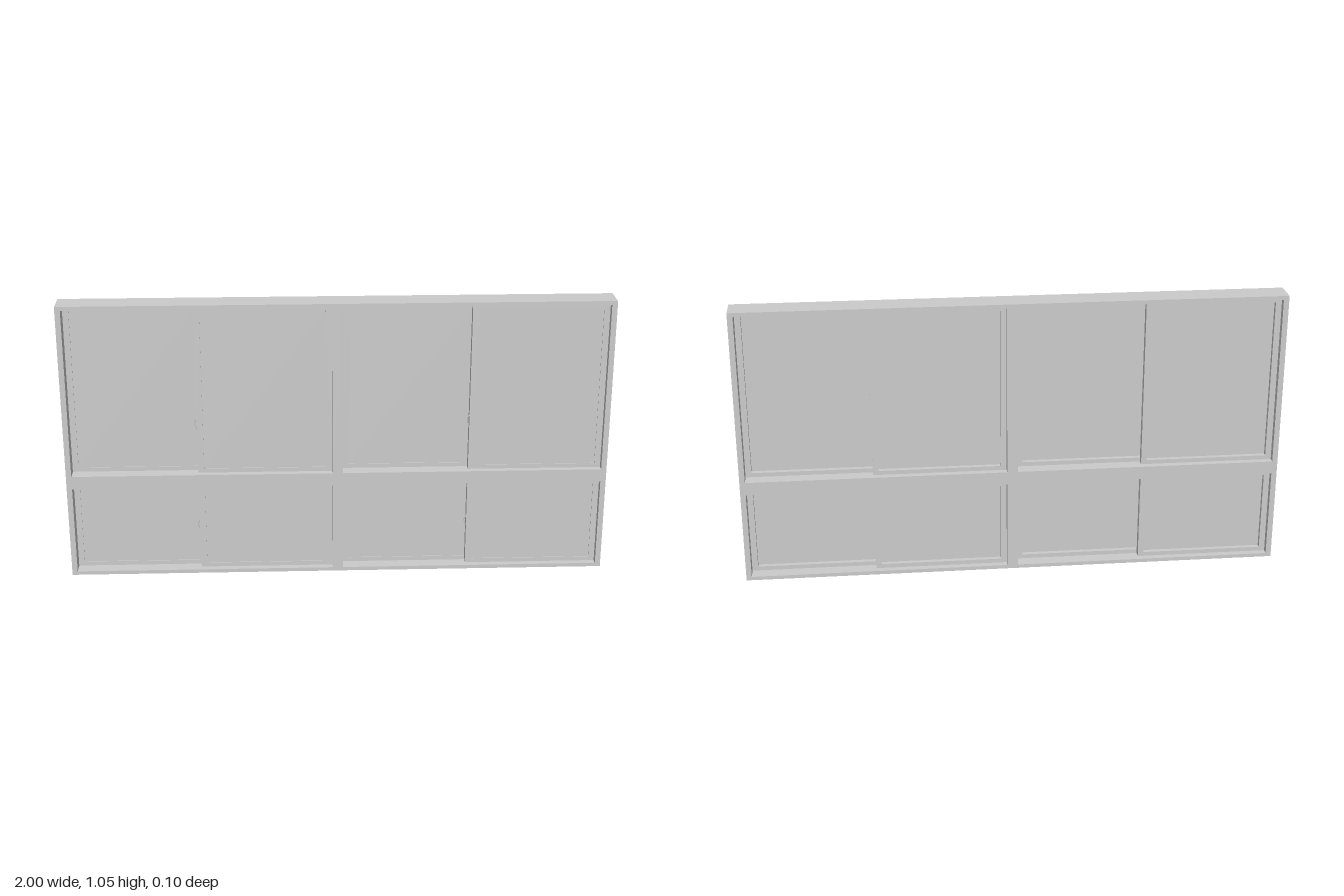
import * as THREE from 'three';

const material = new THREE.MeshStandardMaterial({ color: 0xcccccc });

function rectPoints(x0, y0, x1, y1) {
  return [[x0, y0], [x1, y0], [x1, y1], [x0, y1]].map(([x, y]) => new THREE.Vector2(x, y));
}

// Rectangular plate with rectangular holes, spanning z0..z1
function plate(name, outer, holes, z0, z1) {
  const shape = new THREE.Shape(rectPoints(...outer));
  holes.forEach(h => shape.holes.push(new THREE.Path(rectPoints(...h).reverse())));
  const geo = new THREE.ExtrudeGeometry(shape, { depth: z1 - z0, bevelEnabled: false });
  geo.translate(0, 0, z0);
  const mesh = new THREE.Mesh(geo, material);
  mesh.name = name;
  return mesh;
}

// Sash: rim plus a pane set just behind its front face, deeply recessed at the back
function sash(name, x0, x1, y0, y1, z0, z1) {
  const group = new THREE.Group();
  group.name = name;
  const stile = 0.022, rail = 0.016;
  const inner = [x0 + stile, y0 + rail, x1 - stile, y1 - rail];
  group.add(plate('sashFrame', [x0, y0, x1, y1], [inner], z0, z1));
  group.add(plate('pane', inner, [], z1 - 0.009, z1 - 0.003));
  return group;
}

// Small curved pull on the meeting edge of the front sash
function handle(x, y, z) {
  const curve = new THREE.QuadraticBezierCurve3(
    new THREE.Vector3(x + 0.001, y + 0.02, z),
    new THREE.Vector3(x - 0.014, y + 0.012, z),
    new THREE.Vector3(x + 0.001, y - 0.02, z));
  const mesh = new THREE.Mesh(new THREE.TubeGeometry(curve, 10, 0.002, 6), material);
  mesh.name = 'handle';
  return mesh;
}

export function createModel() {
  const model = new THREE.Group();
  model.name = 'slidingWindow';
  const columns = [[-0.98, -0.02], [0.02, 0.98]];
  const rows = [
    { y0: 0.014, y1: 0.35, handleY: 0.185 },
    { y0: 0.4, y1: 1.035, handleY: 0.59 },
  ];
  const openings = [];

  for (const [x0, x1] of columns) {
    const mid = (x0 + x1) / 2, overlap = 0.015;
    for (const { y0, y1, handleY } of rows) {
      openings.push([x0, y0, x1, y1]);
      // Two sashes on parallel tracks, overlapping at the middle
      model.add(sash('rearSash', x0, mid + overlap, y0, y1, -0.026, 0));
      model.add(sash('frontSash', mid - overlap, x1, y0, y1, 0, 0.026));
      model.add(handle(mid - overlap, handleY, 0.02));
    }
  }

  // Outer frame with mullion and transom
  model.add(plate('frame', [-1, 0, 1, 1.05], openings, -0.05, 0.05));
  return model;
}
